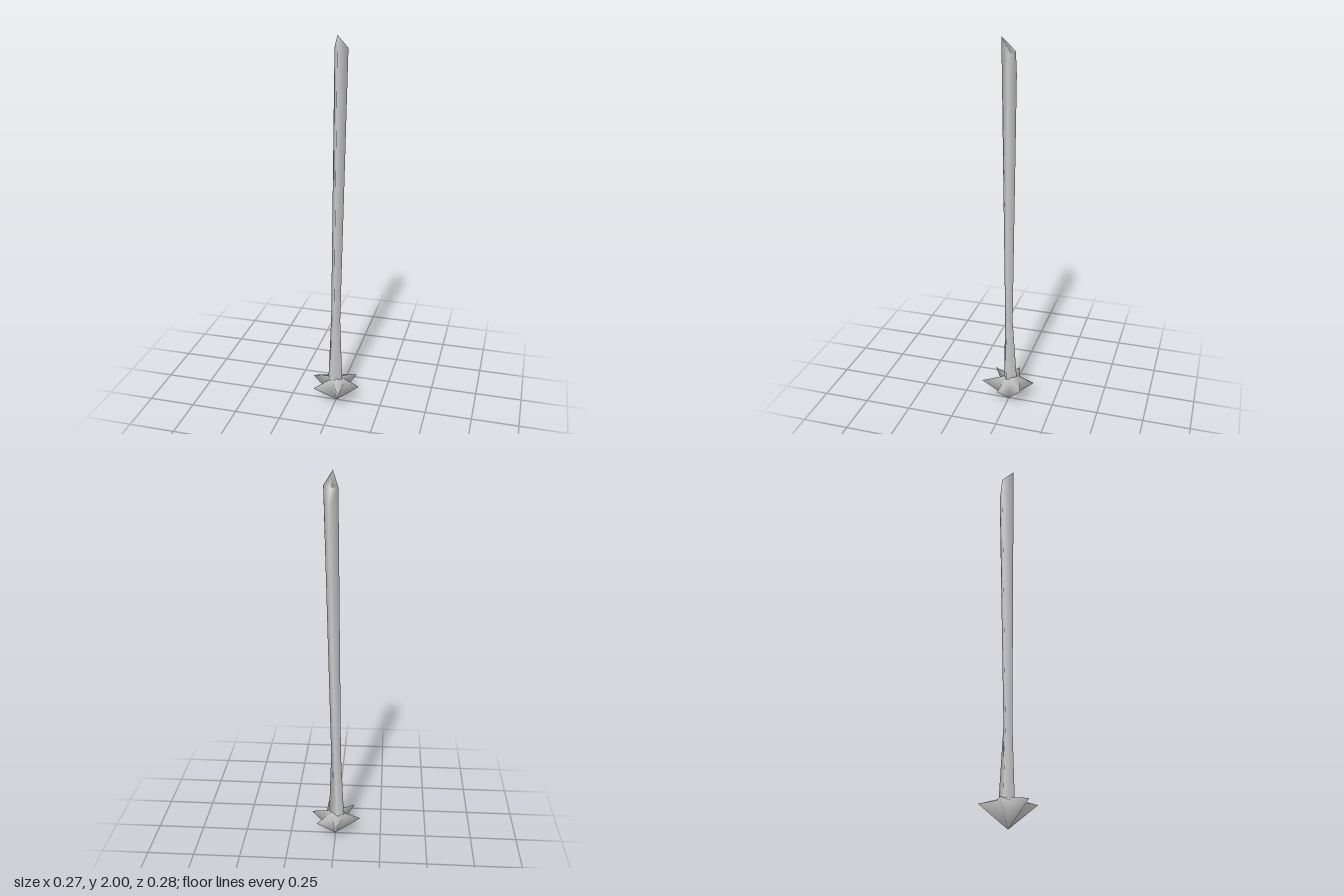
import * as THREE from 'three';

// Smooth skin over equal-sized rings of [x, y, z] points (clockwise from above),
// listed from bottom to top and closed by optional pole points.
function loft(rings, bottomPole, topPole) {
  const n = rings[0].length;
  const points = rings.flat();
  const index = [];
  for (let r = 0; r < rings.length - 1; r++) {
    for (let i = 0; i < n; i++) {
      const a = r * n + i, b = r * n + (i + 1) % n;
      index.push(a, a + n, b + n, a, b + n, b);
    }
  }
  const addPole = (pole, start, up) => {
    const p = points.push(pole) - 1;
    for (let i = 0; i < n; i++) {
      const a = start + i, b = start + (i + 1) % n;
      if (up) index.push(p, b, a);
      else index.push(p, a, b);
    }
  };
  if (bottomPole) addPole(bottomPole, 0, false);
  if (topPole) addPole(topPole, (rings.length - 1) * n, true);

  const geometry = new THREE.BufferGeometry();
  geometry.setAttribute('position', new THREE.Float32BufferAttribute(points.flat(), 3));
  geometry.setIndex(index);
  geometry.computeVertexNormals();
  return geometry;
}

export function createModel() {
  const group = new THREE.Group();
  const material = new THREE.MeshStandardMaterial({ color: 0xcccccc, side: THREE.DoubleSide });
  const add = (name, geometry) => {
    const mesh = new THREE.Mesh(geometry, material);
    mesh.name = name;
    group.add(mesh);
  };

  // Four-sided stem: flared foot, narrow waist, slanted cut at the top
  add('stem', loft([
    [[-0.048, 0.11, -0.018], [-0.01, 0.11, -0.044], [0.037, 0.11, 0.005], [-0.024, 0.11, 0.034]],
    [[-0.029, 0.5, -0.01], [0.003, 0.5, -0.022], [0.024, 0.5, 0.003], [-0.006, 0.5, 0.022]],
    [[-0.015, 1.93, -0.03], [0.031, 1.83, -0.048], [0.057, 1.935, -0.012], [0.015, 2, 0.031]],
  ], null, [0.022, 1.925, -0.015]));

  // Six-pointed star head: tips and the notches between them, as [x, z]
  const tips = [[-0.005, -0.14], [0.096, -0.092], [0.135, 0.027],
    [0.047, 0.138], [-0.1, 0.105], [-0.137, -0.027]];
  const notches = [[0.013, -0.068], [0.05, -0.022], [0.05, 0.024],
    [-0.01, 0.04], [-0.044, 0.018], [-0.043, -0.048]];
  const rim = tips.flatMap(([x, z], i) => [
    [x, 0.12, z],
    [notches[i][0], 0.125, notches[i][1]],
  ]);
  add('starHead', loft([rim], [0.004, 0, 0], [0, 0.15, 0]));

  return group;
}
